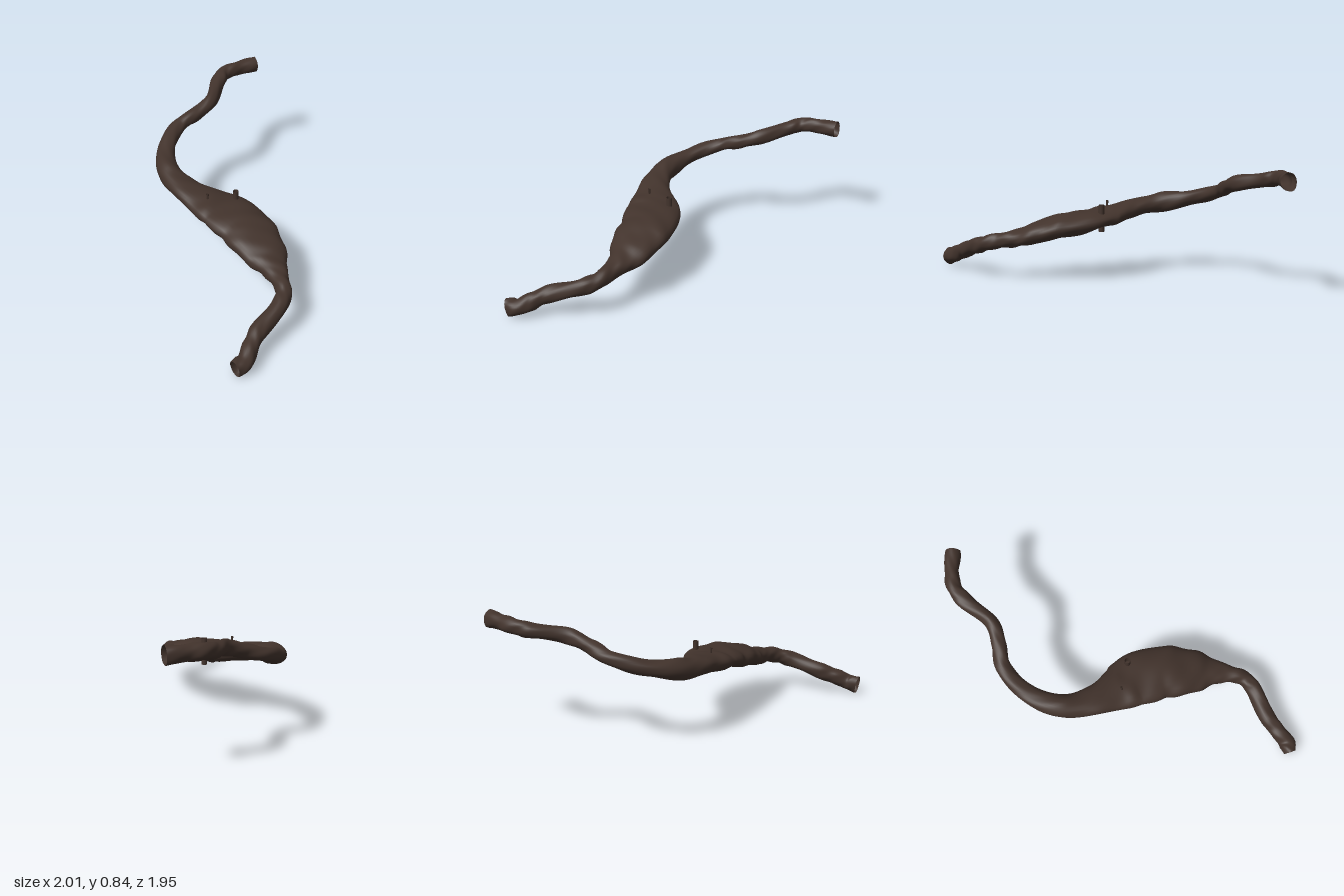
import * as THREE from 'three';

// Stations along the tunnel: centre x, y, z, half width, half height
const STATIONS = [
  [-0.885, 0.78, -0.955, 0.052, 0.06], [-0.93, 0.78, -0.82, 0.05, 0.052],
  [-0.95, 0.775, -0.7, 0.05, 0.052], [-0.915, 0.755, -0.6, 0.053, 0.05],
  [-0.785, 0.71, -0.4, 0.047, 0.052], [-0.78, 0.665, -0.25, 0.05, 0.048],
  [-0.8, 0.62, -0.1, 0.053, 0.047], [-0.7, 0.555, 0.11, 0.062, 0.053],
  [-0.5, 0.505, 0.255, 0.08, 0.07], [-0.3, 0.475, 0.28, 0.1, 0.06],
  [-0.1, 0.435, 0.245, 0.155, 0.066], [0.02, 0.42, 0.217, 0.192, 0.062],
  [0.2, 0.39, 0.205, 0.193, 0.08], [0.35, 0.363, 0.233, 0.18, 0.081],
  [0.5, 0.32, 0.265, 0.145, 0.07], [0.6, 0.29, 0.3, 0.092, 0.06],
  [0.7, 0.275, 0.342, 0.06, 0.054], [0.785, 0.25, 0.395, 0.052, 0.055],
  [0.83, 0.222, 0.48, 0.055, 0.055], [0.862, 0.158, 0.7, 0.057, 0.056],
  [0.9, 0.12, 0.8, 0.051, 0.058], [0.94, 0.08, 0.89, 0.058, 0.054],
  [0.938, 0.066, 0.97, 0.045, 0.064],
];

const SIDES = 28;
const RINGS = (STATIONS.length - 1) * 9;

function createTunnel() {
  const path = new THREE.CatmullRomCurve3(
    STATIONS.map(([x, y, z]) => new THREE.Vector3(x, y, z)), false, 'centripetal');
  const size = new THREE.CatmullRomCurve3(
    STATIONS.map(([, , , w, h]) => new THREE.Vector3(w, h, 0)), false, 'catmullrom', 0.5);
  const up = new THREE.Vector3(0, 1, 0);
  const positions = [], index = [];

  for (let i = 0; i <= RINGS; i++) {
    const t = i / RINGS;
    const centre = path.getPoint(t);
    const tangent = path.getTangent(t);
    const half = size.getPoint(t);
    const side = new THREE.Vector3().crossVectors(up, tangent).normalize();
    const lift = new THREE.Vector3().crossVectors(tangent, side);
    // The wide chamber keeps its lift nearly vertical
    lift.lerp(up, THREE.MathUtils.smoothstep(half.x, 0.07, 0.12)).normalize();

    for (let j = 0; j <= SIDES; j++) {
      const a = ((j % SIDES) / SIDES) * Math.PI * 2;
      // Eroded rock: soft swellings around and along the wall
      const bump = 1 + 0.04 * Math.sin(i * 0.5 + 2 * a)
        + 0.035 * Math.sin(i * 0.56)
        + 0.03 * Math.sin(i * 0.33 - 3 * a + 1.3)
        + 0.02 * Math.sin(i * 0.7 + 5 * a);
      const c = Math.cos(a), s = Math.sin(a);
      const p = centre.clone()
        .addScaledVector(side, c * half.x * (1 + (bump - 1) * 0.05 / Math.max(half.x, 0.05)))
        .addScaledVector(lift, Math.sign(s) * Math.abs(s) ** 0.9 * half.y * bump);
      positions.push(p.x, Math.max(p.y, 0), p.z);
    }
  }
  const row = SIDES + 1;
  for (let i = 0; i < RINGS; i++) {
    for (let j = 0; j < SIDES; j++) {
      const a = i * row + j, b = a + row;
      index.push(a, a + 1, b, b, a + 1, b + 1);
    }
  }
  const geometry = new THREE.BufferGeometry();
  geometry.setAttribute('position', new THREE.Float32BufferAttribute(positions, 3));
  geometry.setIndex(index);
  geometry.computeVertexNormals();
  // Match the normals where each ring closes
  const n = geometry.attributes.normal;
  for (let i = 0; i <= RINGS; i++) {
    const a = i * row, b = a + SIDES;
    const v = new THREE.Vector3().fromBufferAttribute(n, a)
      .add(new THREE.Vector3().fromBufferAttribute(n, b)).normalize();
    n.setXYZ(a, v.x, v.y, v.z);
    n.setXYZ(b, v.x, v.y, v.z);
  }
  return geometry;
}

export function createModel() {
  const group = new THREE.Group();
  const rock = new THREE.MeshStandardMaterial({ color: 0x42332c, side: THREE.DoubleSide });

  const add = (name, geometry, x = 0, y = 0, z = 0) => {
    const mesh = new THREE.Mesh(geometry, rock);
    mesh.name = name;
    mesh.position.set(x, y, z);
    group.add(mesh);
  };

  // Open-ended winding tunnel with a broad flat chamber
  add('tunnel', createTunnel());

  // Upright shaft passing through the chamber
  add('shaft', new THREE.CylinderGeometry(0.02, 0.02, 0.19, 12, 1, true), 0.02, 0.435, 0.1);

  // Small flared chimney on the roof
  add('chimney', new THREE.CylinderGeometry(0.009, 0.005, 0.08, 8, 1, true), -0.08, 0.495, 0.27);

  return group;
}
